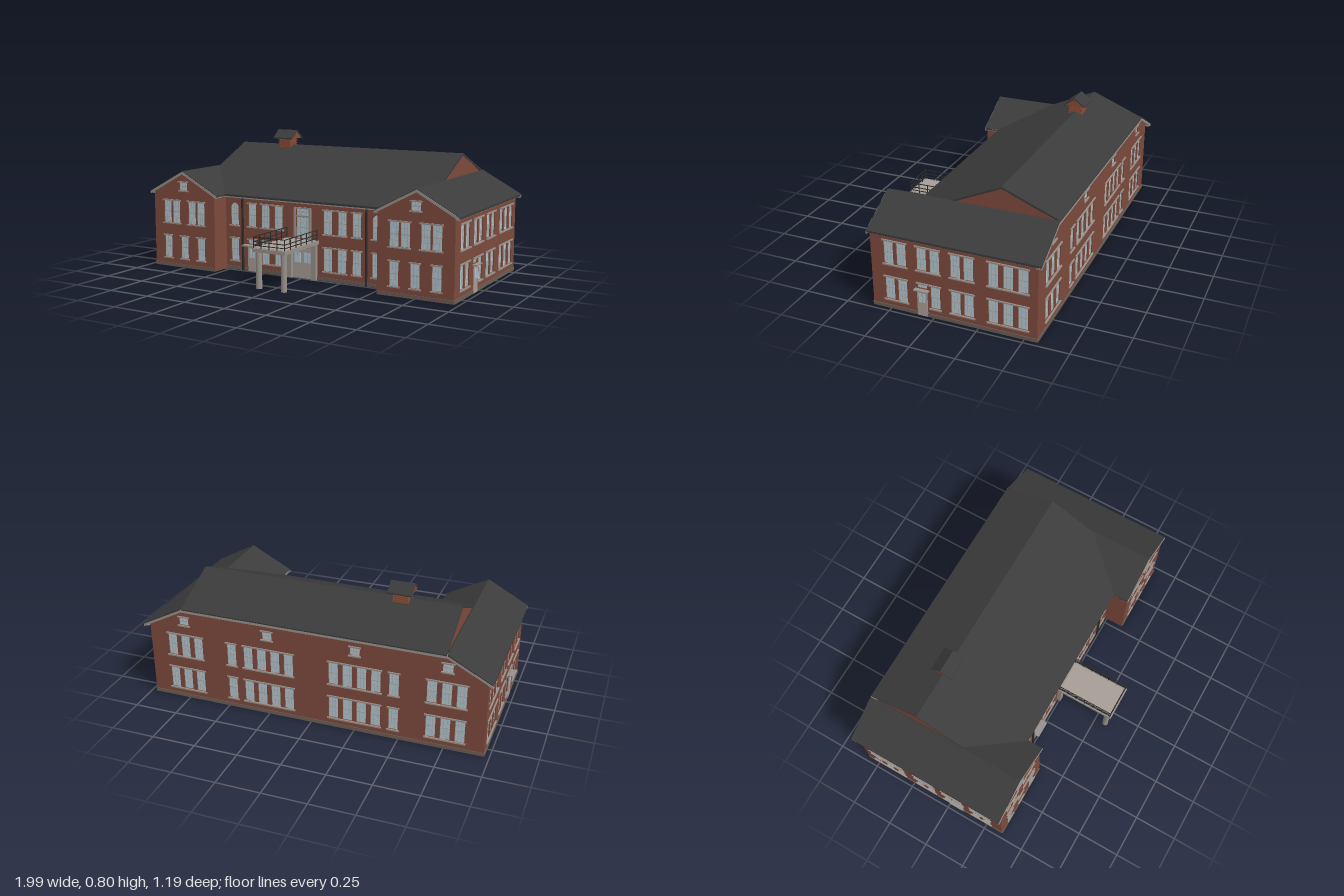
import * as THREE from 'three';
import { mergeGeometries } from 'three/addons/utils/BufferGeometryUtils.js';

const mat = (name, color) => Object.assign(new THREE.MeshStandardMaterial({ color }), { name });
const M = {
  brick: mat('brick', 0x7d4a3c), roof: mat('slate roof', 0x3b3b3b), trim: mat('stone trim', 0x98918b),
  frame: mat('window frame', 0xaaa8a4), glass: mat('glass', 0xb2c8d4), plinth: mat('plinth', 0x6b5c54),
  door: mat('door', 0xa79d96), iron: mat('black iron', 0x2a2a2a), chimney: mat('cupola brick', 0x874a34),
};
const T = 0.015; // wall thickness
const UPPER = [0.268, 0.4], LOWER = [0.056, 0.187], ATTIC = [0.467, 0.513];

const box = (w, h, d, x, y, z) => new THREE.BoxGeometry(w, h, d).translate(x, y, z).toNonIndexed();
const shapeOf = pts => new THREE.Shape(pts.map(p => new THREE.Vector2(...p)));
const extrude = (shape, z0, z1) => new THREE.ExtrudeGeometry(shape,
  { depth: z1 - z0, bevelEnabled: false, curveSegments: 8 }).translate(0, 0, z0);
// Sloping strip under a polyline
const band = (pts, t, z0, z1) =>
  extrude(shapeOf([...pts, ...pts.map(([x, y]) => [x, y - t]).reverse()]), z0, z1);
const mesh = (name, material, ...geos) =>
  Object.assign(new THREE.Mesh(geos.length > 1 ? mergeGeometries(geos) : geos[0], material), { name });

// Window outline, optionally round-headed
function opening(x, y0, y1, w, arch) {
  const r = w / 2, s = new THREE.Shape();
  s.moveTo(x - r, y0).lineTo(x + r, y0);
  if (arch) s.lineTo(x + r, y1 - r).absarc(x, y1 - r, r, 0, Math.PI, false);
  else s.lineTo(x + r, y1).lineTo(x - r, y1);
  s.closePath();
  return s;
}

// A wall facing local +z with its outer face at z = 0
function makeWall(name, outline, windows, { doors = [], plinth } = {}) {
  const g = new THREE.Group();
  g.name = name;
  const shape = shapeOf(outline);
  const parts = { glass: [], frame: [], trim: [], door: [], plinth: [] };
  for (const { xs, span: [y0, y1], w = 0.054, arch, cols = 3, rows = 4, lintel = true, sill = true } of windows) {
    const h = y1 - y0, cy = (y0 + y1) / 2;
    for (const x of xs) {
      const s = opening(x, y0, y1, w, arch);
      shape.holes.push(new THREE.Path(s.getPoints(8)));
      parts.glass.push(extrude(s, -0.011, -0.008));
      for (let i = 0; i <= cols; i++) {
        const edge = i === 0 || i === cols;
        parts.frame.push(box(edge ? 0.006 : 0.002, h, edge ? 0.008 : 0.006, x - w / 2 + w * i / cols, cy, -0.0095));
      }
      for (let j = 0; j <= rows; j++) {
        const bold = j === 0 || j === rows || j === rows / 2;
        const top = arch && j === rows;
        if (!top) parts.frame.push(box(w, bold ? 0.005 : 0.002, bold ? 0.008 : 0.006, x, y0 + h * j / rows, -0.0095));
      }
    }
    const a = Math.min(...xs), b = Math.max(...xs), L = b - a + w + 0.016;
    if (sill) parts.trim.push(box(L, 0.008, 0.016, (a + b) / 2, y0 - 0.004, 0));
    if (lintel && !arch) parts.trim.push(box(L, 0.008, 0.014, (a + b) / 2, y1 + 0.004, 0));
  }
  for (const { x, w, h, leaves = 1 } of doors) {
    const lw = w / leaves;
    for (let i = 0; i < leaves; i++) {
      const cx = x + (i - (leaves - 1) / 2) * lw;
      parts.door.push(box(lw - 0.002, h, 0.024, cx, h / 2, -0.007));
      for (const s of [-1, 1]) {
        parts.glass.push(box(lw * 0.28, h * 0.36, 0.026, cx + s * lw * 0.18, h * 0.71, -0.007));
      }
    }
  }
  if (plinth) parts.plinth.push(box(plinth[1] - plinth[0], 0.02, 0.004, (plinth[0] + plinth[1]) / 2, 0.01, 0.002));
  g.add(mesh('brickwork', M.brick, extrude(shape, -T, 0)));
  const labels = { glass: 'panes', frame: 'windowFrames', trim: 'sillsAndLintels', door: 'doors', plinth: 'plinth' };
  for (const k in parts) if (parts[k].length) g.add(mesh(labels[k], M[k], ...parts[k]));
  return g;
}

export function createModel() {
  const model = new THREE.Group();
  model.name = 'schoolhouse';
  const place = (o, x, z, ry = 0) => { o.position.set(x, 0, z); o.rotation.y = ry; model.add(o); };

  for (const s of [-1, 1]) {
    // Gabled wing front
    const X = x => s * x;
    place(makeWall('wingFront',
      [[X(0.53), 0], [X(0.97), 0], [X(0.97), 0.45], [X(0.755), 0.565], [X(0.53), 0.45]], [
        { xs: [X(0.872), X(0.808)], span: UPPER }, { xs: [X(0.692), X(0.628)], span: UPPER },
        ...[0.872, 0.75, 0.628].map(x => ({ xs: [X(x)], span: LOWER })),
        { xs: [X(0.752)], span: ATTIC, w: 0.056, rows: 2 },
      ], { plinth: [Math.min(X(0.53), X(0.97)), Math.max(X(0.53), X(0.97))] }), 0, 0.355);

    // End wall: local x runs along -z on the left end and +z on the right end
    const Z = z => -s * z;
    const groups = [[0.252, 0.179], [0.064, -0.01], [-0.125, -0.198], [-0.332, -0.412, -0.492]].map(a => a.map(Z));
    place(makeWall('endWall', [[Z(0.355), 0], [Z(-0.57), 0], [Z(-0.57), 0.45], [Z(0.355), 0.45]], [
      ...groups.map(xs => ({ xs, span: UPPER })),
      ...groups.map((xs, i) => ({ xs: i === 1 ? [xs[1]] : xs, span: LOWER })),
      { xs: [Z(0.064)], span: [0.163, 0.187], rows: 1, sill: false },
    ], { doors: [{ x: Z(0.064), w: 0.06, h: 0.152 }],
      plinth: [Math.min(Z(0.355), Z(-0.57)), Math.max(Z(0.355), Z(-0.57))] }), X(0.97), 0, s * Math.PI / 2);
    model.add(mesh('sideDoorCanopy', M.trim, box(0.028, 0.007, 0.08, X(0.981), 0.156, 0.064)));

    // Inner return of the wing
    model.add(mesh('wingReturn', M.brick, box(T, 0.455, 0.125, X(0.53 + T / 2), 0.2275, 0.285)));

    // Wing roof: long outer slope, shorter inner slope
    const ridge = [X(0.755), 0.582], outer = [X(0.995), 0.452], inner = [X(0.51), 0.452];
    model.add(mesh('wingRoof', M.roof, band([ridge, outer], 0.012, -0.597, 0.36),
      band([inner, ridge], 0.012, -0.55, 0.36)));
    const drop = ([x, y]) => [x, y - 0.004];
    model.add(mesh('gableTrim', M.trim, band([inner, ridge, outer].map(drop), 0.015, 0.355, 0.363)));
    model.add(mesh('sideCornice', M.trim, box(0.022, 0.014, 0.95, X(0.98), 0.444, -0.118),
      box(0.02, 0.014, 0.09, X(0.52), 0.444, 0.312)));

    // Rain pipe and upper gable end of the main roof
    model.add(mesh('rainPipe', M.iron,
      new THREE.CylinderGeometry(0.007, 0.007, 0.44, 8).translate(X(0.408), 0.22, 0.243)));
    const gable = extrude(shapeOf([[-0.285, 0.7], [0.015, 0.56], [-0.575, 0.56], [-0.575, 0.572]]), -0.005, 0.005);
    model.add(mesh('mainGable', M.brick, gable.rotateY(-Math.PI / 2).translate(X(0.742), 0, 0)));
  }

  // Central front
  const front = [];
  for (const s of [-1, 1]) {
    front.push({ xs: [s * 0.468], span: UPPER, arch: true }, { xs: [s * 0.468], span: LOWER },
      { xs: [s * 0.345], span: UPPER }, { xs: [s * 0.253, s * 0.163], span: UPPER },
      { xs: [s * 0.253, s * 0.163], span: LOWER });
  }
  front.push({ xs: [0.345], span: LOWER }, { xs: [-0.345], span: [0.163, 0.187], rows: 1, sill: false },
    { xs: [0], span: [0.23, 0.352], w: 0.084, cols: 4, lintel: false, sill: false },
    { xs: [0], span: [0.362, 0.4], w: 0.084, cols: 4, rows: 2 });
  place(makeWall('centreFront', [[-0.53, 0], [0.53, 0], [0.53, 0.45], [-0.53, 0.45]], front, {
    doors: [{ x: -0.345, w: 0.06, h: 0.152 }, { x: 0, w: 0.13, h: 0.17, leaves: 2 }], plinth: [-0.53, 0.53],
  }), 0, 0.235);
  model.add(mesh('frontDoorCanopy', M.trim, box(0.1, 0.007, 0.04, -0.345, 0.156, 0.255)));

  // Back wall rising to the main roof
  const back = [{ xs: [-0.755, -0.252, 0.252, 0.755], span: ATTIC, w: 0.056, rows: 2 }];
  back[0].xs.forEach(x => back.push({ xs: [x], span: ATTIC, w: 0.056, rows: 2 }));
  back.shift();
  for (const span of [UPPER, LOWER]) for (const s of [-1, 1]) {
    back.push({ xs: [0.675, 0.755, 0.835].map(x => s * x), span }, { xs: [s * 0.47], span },
      { xs: [0.13, 0.21, 0.29, 0.37].map(x => s * x), span });
  }
  place(makeWall('backWall',
    [[-0.97, 0], [0.97, 0], [0.97, 0.45], [0.755, 0.567], [-0.755, 0.567], [-0.97, 0.45]], back,
    { plinth: [-0.97, 0.97] }), 0, -0.57, Math.PI);
  model.add(mesh('backCornice', M.trim,
    band([[-0.995, 0.447], [-0.755, 0.573], [0.755, 0.573], [0.995, 0.447]], 0.014, -0.598, -0.565)));

  // Main roof and front cornice
  model.add(mesh('mainRoof', M.roof,
    band([[-0.598, 0.58], [-0.285, 0.707], [0.27, 0.453]], 0.012, -0.75, 0.75).rotateY(-Math.PI / 2)));
  model.add(mesh('frontCornice', M.trim, box(1.04, 0.012, 0.026, 0, 0.439, 0.248)));

  // Cupola on the ridge
  const cupola = new THREE.Group();
  cupola.name = 'cupola';
  cupola.position.set(-0.422, 0, -0.285);
  const body = [box(0.08, 0.12, 0.074, 0, 0.685, 0)];
  for (let i = 0; i < 5; i++) body.push(box(0.088, 0.004, 0.082, 0, 0.692 + i * 0.011, 0));
  body.push(extrude(shapeOf([[-0.055, 0.745], [0.055, 0.745], [0, 0.789]]), -0.064, 0.064).rotateY(-Math.PI / 2));
  cupola.add(mesh('cupolaBody', M.chimney, ...body));
  cupola.add(mesh('cupolaRoof', M.roof,
    band([[-0.062, 0.75], [0, 0.797], [0.062, 0.75]], 0.008, -0.068, 0.068).rotateY(-Math.PI / 2)));
  model.add(cupola);

  // Entrance porch with balcony
  const porch = new THREE.Group();
  porch.name = 'porch';
  const stone = [box(0.21, 0.02, 0.36, 0, 0.217, 0.415), box(0.15, 0.022, 0.016, 0, 0.184, 0.243)];
  const iron = [];
  for (const s of [-1, 1]) {
    stone.push(box(0.03, 0.207, 0.024, s * 0.081, 0.1035, 0.247), box(0.012, 0.18, 0.014, s * 0.05, 0.317, 0.238));
    stone.push(new THREE.CylinderGeometry(0.017, 0.017, 0.207, 16).translate(s * 0.08, 0.1035, 0.564).toNonIndexed());
    for (const y of [0.288, 0.262, 0.242]) iron.push(box(0.004, 0.004, 0.34, s * 0.099, y, 0.415));
    for (let i = 0; i <= 6; i++) iron.push(box(0.004, 0.062, 0.004, s * 0.099, 0.258, 0.247 + i * 0.0565));
  }
  for (const y of [0.288, 0.262, 0.242]) iron.push(box(0.2, 0.004, 0.004, 0, y, 0.586));
  for (const x of [-0.05, 0, 0.05]) iron.push(box(0.004, 0.062, 0.004, x, 0.258, 0.586));
  porch.add(mesh('porchStone', M.trim, ...stone), mesh('balconyRailing', M.iron, ...iron),
    mesh('balconyFloor', M.door, box(0.186, 0.003, 0.33, 0, 0.2275, 0.415)));
  model.add(porch);
  return model;
}
